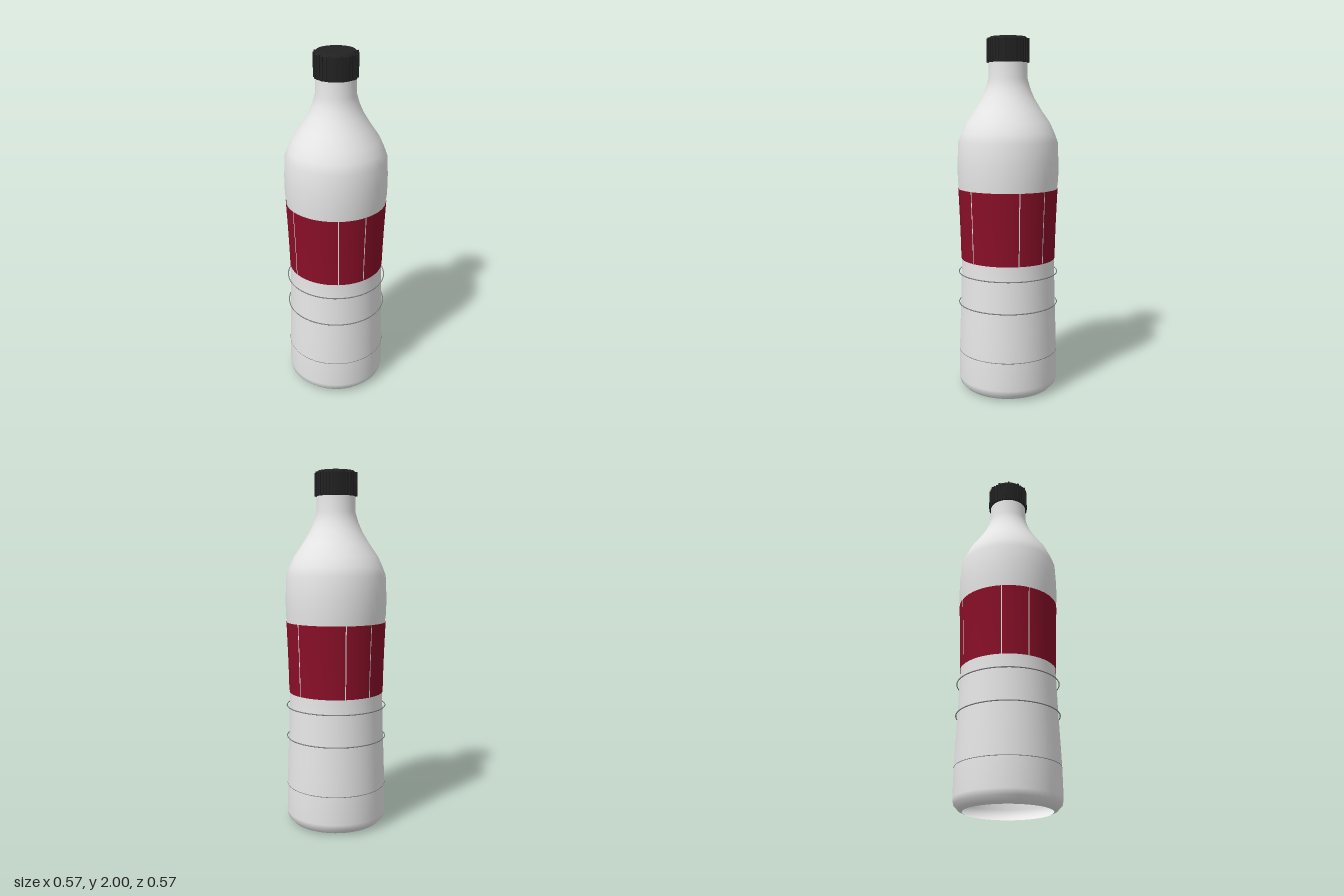
import * as THREE from 'three';

const material = (name, color, side = THREE.FrontSide) => {
  const m = new THREE.MeshStandardMaterial({ color, side });
  m.name = name;
  return m;
};
const points = (list) => list.map(([r, y]) => new THREE.Vector2(r, y));

export function createModel() {
  const bottle = new THREE.Group();
  bottle.name = 'bottle';
  const white = material('bottle white', 0xe8e8e8, THREE.DoubleSide);
  const red = material('label red', 0x8a0f28, THREE.DoubleSide);
  const black = material('cap black', 0x222222);
  const grey = material('ring grey', 0x808080);

  const add = (name, geometry, mat, parent = bottle) => {
    const mesh = new THREE.Mesh(geometry, mat);
    mesh.name = name;
    parent.add(mesh);
    return mesh;
  };

  // Hollow body, open at the base
  const waist = [[0.264, 0.77], [0.266, 0.87], [0.27, 1.0], [0.277, 1.17]];
  const profile = [
    [0.235, 0.005], [0.255, 0.014], [0.28, 0.04], [0.285, 0.07], [0.283, 0.23],
    [0.276, 0.42], [0.271, 0.55], [0.267, 0.69], ...waist,
    [0.284, 1.22], [0.284, 1.32], [0.279, 1.43], [0.26, 1.48], [0.235, 1.535],
    [0.19, 1.6], [0.147, 1.67], [0.125, 1.72], [0.109, 1.775], [0.107, 1.88],
  ];
  add('body', new THREE.LatheGeometry(points(profile), 48), white);

  // Wrapped label in strips, parted by narrow slits
  const label = new THREE.Group();
  label.name = 'label';
  bottle.add(label);
  const skin = points(waist.map(([r, y]) => [r + 0.004, y]));
  const slits = [-0.7, -0.143, -0.7 + Math.PI / 2];
  const gap = 0.02;
  for (let quarter = 0; quarter < 4; quarter++) {
    for (let i = 0; i < 2; i++) {
      const start = slits[i] + quarter * Math.PI / 2 + gap / 2;
      const length = slits[i + 1] - slits[i] - gap;
      add('labelStrip', new THREE.LatheGeometry(skin, 8, start, length), red, label);
    }
  }

  // Thin grip rings
  for (const y of [0.23, 0.51, 0.69]) {
    const thickness = y < 0.3 ? 0.002 : 0.003;
    const ring = add('gripRing', new THREE.TorusGeometry(0.282, thickness, 6, 48), grey);
    ring.rotation.x = Math.PI / 2;
    ring.position.y = y;
  }

  // Screw cap with ribbed side
  const cap = new THREE.Group();
  cap.name = 'cap';
  bottle.add(cap);
  const side = new THREE.CylinderGeometry(0.113, 0.113, 0.122, 36);
  add('capSide', side, black, cap).position.y = 1.924;
  const top = new THREE.CylinderGeometry(0.1, 0.113, 0.015, 36);
  add('capTop', top, black, cap).position.y = 1.9925;
  const ribs = 36;
  const rib = new THREE.BoxGeometry(0.009, 0.122, 0.012);
  for (let i = 0; i < ribs; i++) {
    const a = (i / ribs) * Math.PI * 2;
    const mesh = add('capRib', rib, black, cap);
    mesh.position.set(Math.sin(a) * 0.112, 1.925 + (i % 3 ? 0 : 0.006), Math.cos(a) * 0.112);
    mesh.rotation.y = a;
  }
  return bottle;
}
